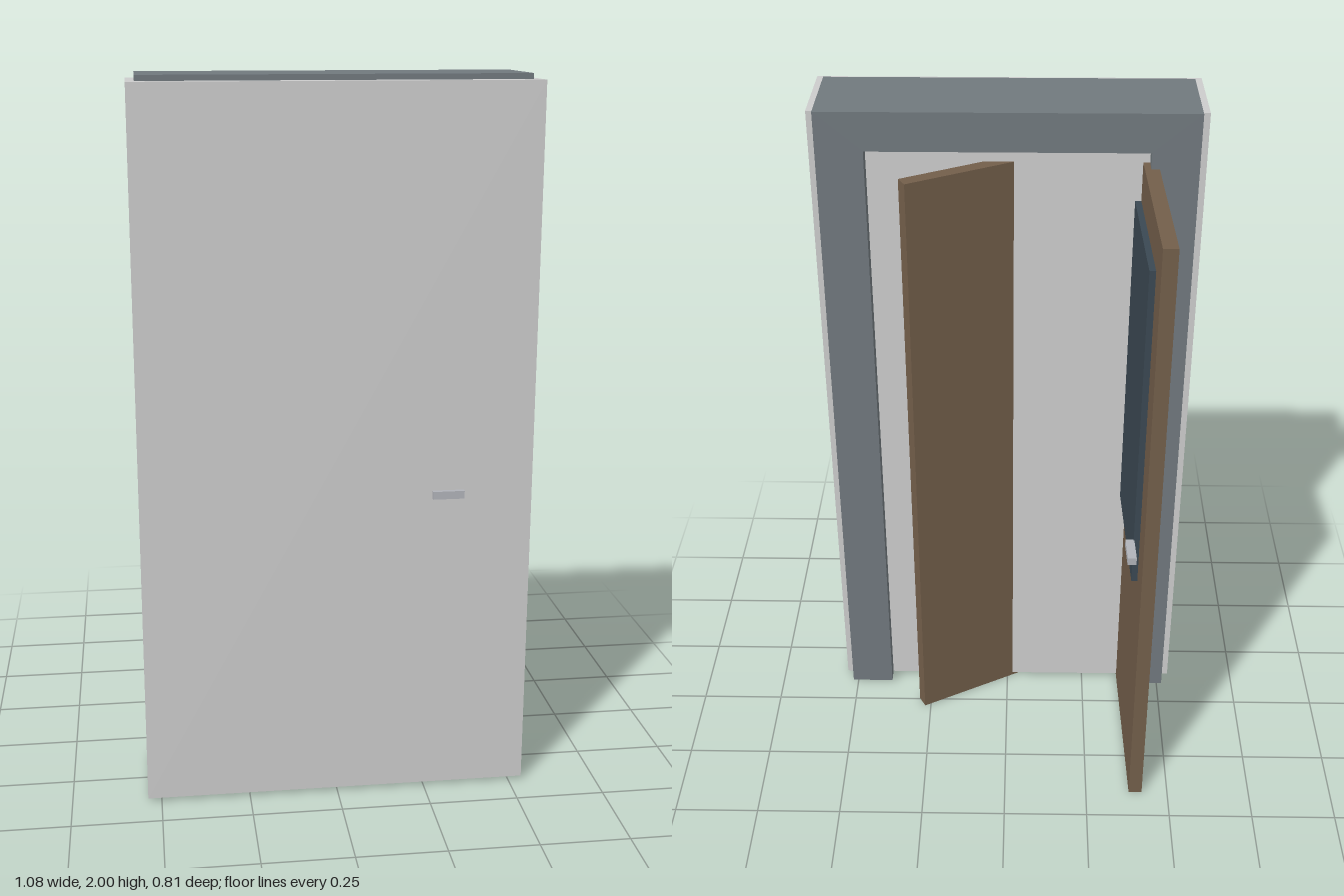
import * as THREE from 'three';

const material = (color) => new THREE.MeshStandardMaterial({ color });
const wallMat = material(0xcccccc);
const frameMat = material(0x70787d);
const woodMat = material(0x725e4a);
const glassMat = material(0x3a4852);
const metalMat = material(0xb0b2b8);

// Box given by its lower and upper corners
function box(name, mat, [x0, y0, z0], [x1, y1, z1]) {
  const mesh = new THREE.Mesh(new THREE.BoxGeometry(x1 - x0, y1 - y0, z1 - z0), mat);
  mesh.name = name;
  mesh.position.set((x0 + x1) / 2, (y0 + y1) / 2, (z0 + z1) / 2);
  return mesh;
}

// Door leaf hinged at its local origin, with a raised pane and a lever on the front
function door(name, angle) {
  const leaf = new THREE.Group();
  leaf.name = name;
  leaf.add(
    box('doorPanel', woodMat, [0, 0, -0.02], [0.75, 1.845, 0.02]),
    box('doorPane', glassMat, [0.105, 0.745, 0.015], [0.645, 1.733, 0.037]),
    box('doorHandle', metalMat, [0.64, 0.868, 0.035], [0.727, 0.89, 0.06])
  );
  leaf.position.set(-0.38, 0, 0.345);
  leaf.rotation.y = angle;
  return leaf;
}

// Frame surround: two jambs and a header as one outline
function doorFrame() {
  const outline = new THREE.Shape([
    [-0.515, 0.01], [-0.385, 0.01], [-0.385, 1.89], [0.385, 1.89],
    [0.385, 0.01], [0.515, 0.01], [0.515, 2], [-0.515, 2],
  ].map(([x, y]) => new THREE.Vector2(x, y)));
  const geometry = new THREE.ExtrudeGeometry(outline, { depth: 0.267, bevelEnabled: false });
  const mesh = new THREE.Mesh(geometry, frameMat);
  mesh.name = 'doorFrame';
  mesh.position.z = 0.078;
  return mesh;
}

export function createModel() {
  const model = new THREE.Group();
  model.name = 'doorway';
  model.add(
    box('wallBlock', wallMat, [-0.538, 0.01, 0.124], [0.538, 1.985, 0.392]),
    doorFrame(),
    // The same leaf closed, ajar and wide open
    door('closedDoor', 0),
    door('ajarDoor', 0.5),
    door('openDoor', 1.6)
  );
  return model;
}
